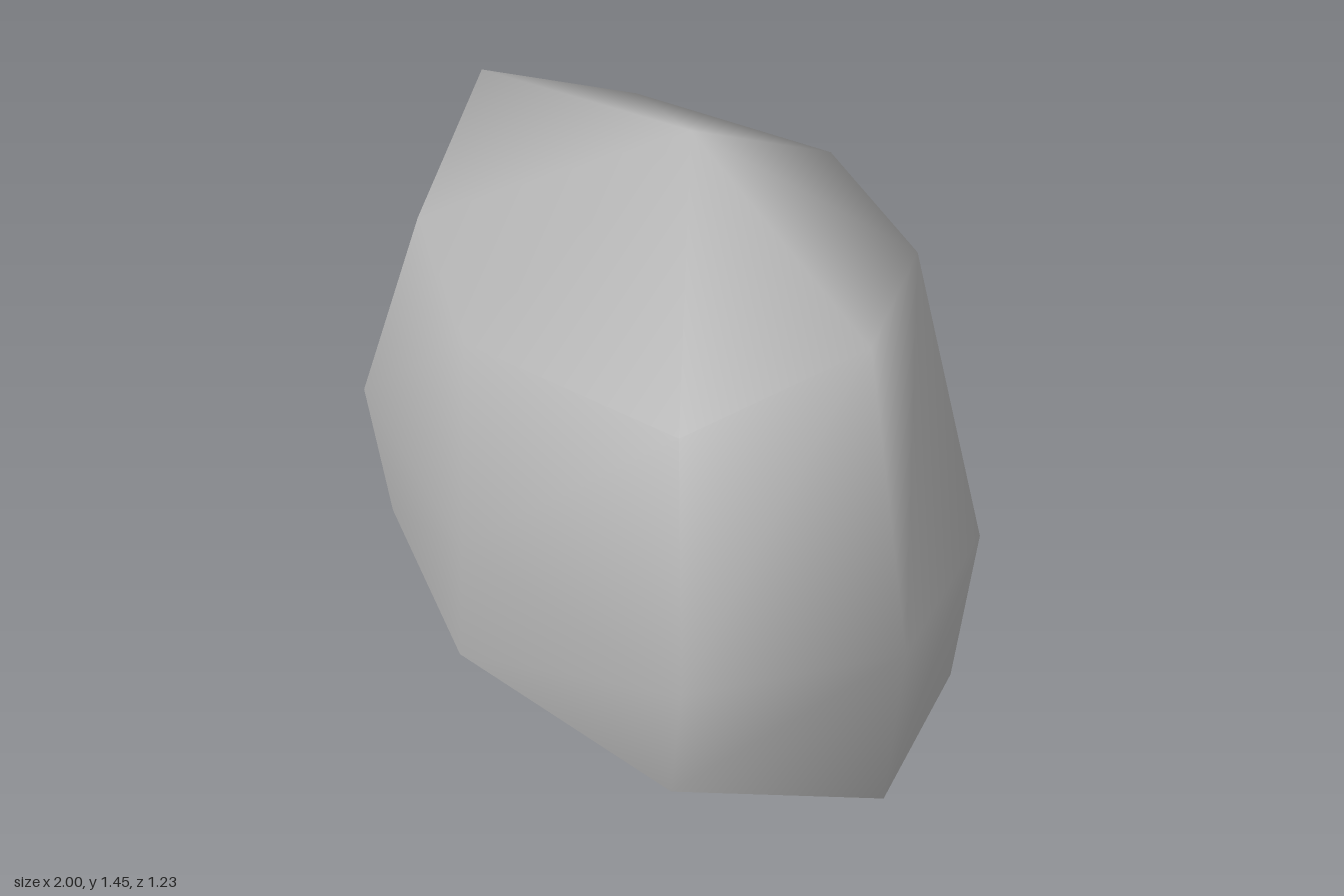
import * as THREE from 'three';

export function createModel() {
  const model = new THREE.Group();
  const stone = new THREE.MeshStandardMaterial({ color: 0xb4b4b4, side: THREE.DoubleSide });
  stone.name = 'grey stone';

  // Eight-sided cross-sections, each running from +x round through +z
  const rings = [
    [[0.98, 0, 0.06], [0.64, 0, 0.46], [-0.1, 0, 0.59], [-0.72, 0, 0.4],
      [-0.94, 0, -0.01], [-0.67, 0, -0.46], [0.06, 0, -0.53], [0.75, 0, -0.38]],
    [[1, 0.48, 0.04], [0.74, 0.42, 0.51], [-0.03, 0.42, 0.61], [-0.72, 0.45, 0.46],
      [-1, 0.47, 0.07], [-0.76, 0.5, -0.48], [0, 0.57, -0.62], [0.77, 0.46, -0.42]],
    [[0.79, 1.23, 0.01], [0.55, 1, 0.37], [-0.07, 1, 0.545], [-0.53, 1.06, 0.37],
      [-0.66, 1.33, 0.07], [-0.53, 1.18, -0.33], [0.1, 1.245, -0.465], [0.57, 1.24, -0.33]],
  ];
  const apex = [0.07, 1.445, -0.04];
  const sides = 8;
  const positions = [...rings.flat(), apex].flat();
  const index = [];

  // Walls between neighbouring rings, then the fan to the peak
  for (let i = 0; i < sides; i++) {
    const j = (i + 1) % sides;
    for (let r = 0; r < rings.length - 1; r++) {
      const lo = r * sides, up = lo + sides;
      index.push(lo + i, up + i, lo + j, up + i, up + j, lo + j);
    }
    const top = (rings.length - 1) * sides;
    index.push(top + i, rings.length * sides, top + j);
  }

  const geometry = new THREE.BufferGeometry();
  geometry.setAttribute('position', new THREE.Float32BufferAttribute(positions, 3));
  geometry.setIndex(index);
  geometry.computeVertexNormals();

  // Hollow boulder shell, open underneath
  const boulder = new THREE.Mesh(geometry, stone);
  boulder.name = 'boulder';
  model.add(boulder);
  return model;
}
